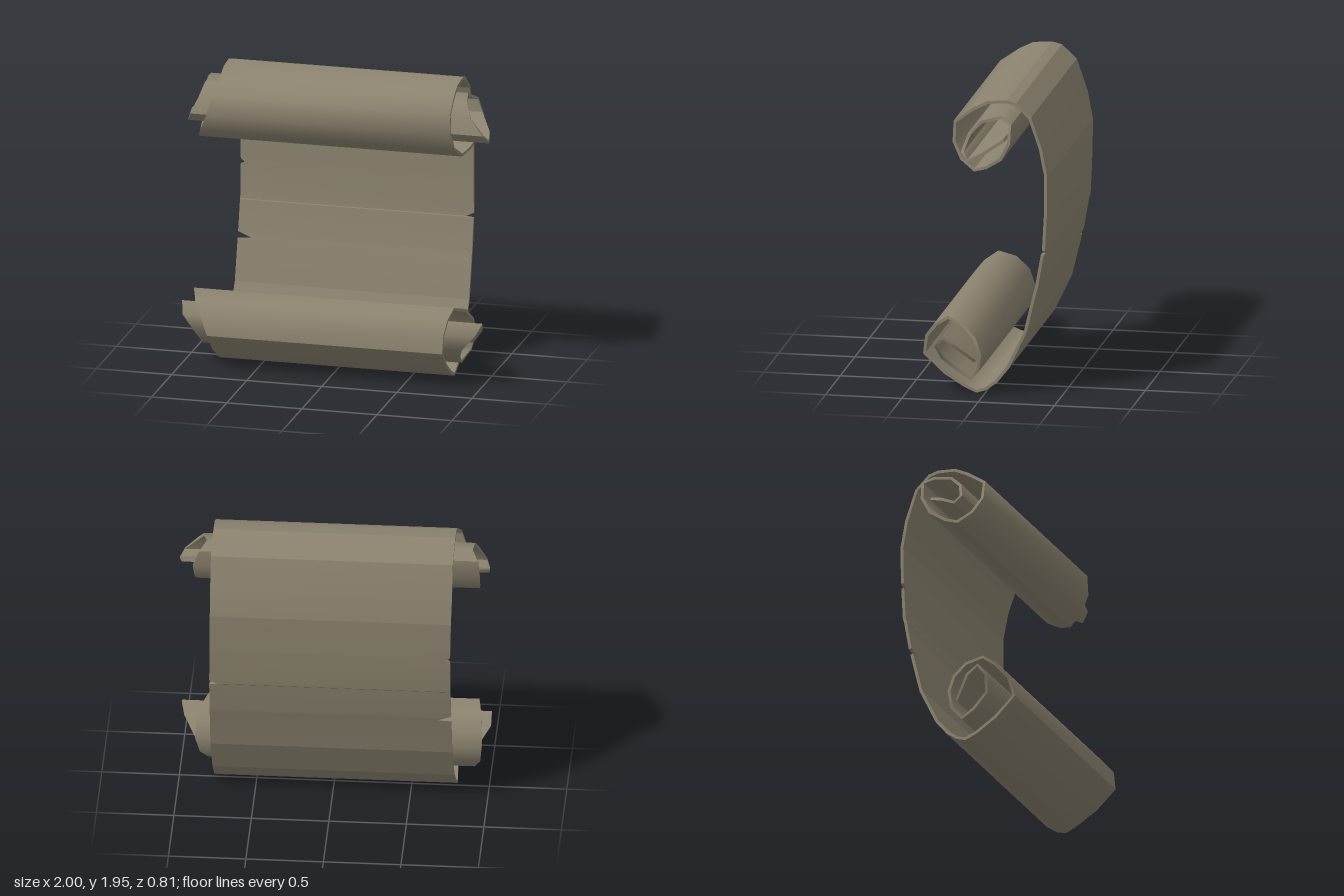
import * as THREE from 'three';
import { toCreasedNormals } from 'three/addons/utils/BufferGeometryUtils.js';

const THICKNESS = 0.02;

// Cross-section rows: [z, y, left end (-x), right end (+x)]
// Upper curl, from its loose inner end out to the top of the sheet
const upperCurl = [
  [-0.15, 1.72, 0.88, 0.9], [-0.02, 1.64, 1.0, 0.98], [0.07, 1.6, 1.0, 1.0],
  [0.11, 1.65, 0.98, 0.97], [0.08, 1.75, 0.93, 0.88], [0.01, 1.82, 0.91, 0.84],
  [-0.115, 1.85, 0.9, 0.81], [-0.18, 1.81, 0.94, 0.86], [-0.18, 1.7, 0.95, 0.9],
  [-0.125, 1.59, 0.95, 0.89], [-0.02, 1.52, 0.94, 0.85], [0.06, 1.495, 0.93, 0.82],
  [0.15, 1.56, 0.9, 0.79], [0.2, 1.67, 0.85, 0.78], [0.195, 1.8, 0.81, 0.775],
  [0.07, 1.89, 0.79, 0.77], [-0.02, 1.935, 0.79, 0.77],
];
// Hanging sheet with small tears along both edges
const sheet = [
  [-0.14, 1.945, 0.79, 0.77], [-0.2, 1.93, 0.79, 0.77], [-0.295, 1.845, 0.785, 0.775],
  [-0.365, 1.64, 0.785, 0.775], [-0.4, 1.46, 0.78, 0.775],
  [-0.398, 1.21, 0.775, 0.775], [-0.397, 1.19, 0.745, 0.775], [-0.396, 1.175, 0.775, 0.775],
  [-0.386, 0.97, 0.775, 0.78], [-0.382, 0.945, 0.775, 0.73], [-0.378, 0.94, 0.775, 0.78],
  [-0.342, 0.735, 0.778, 0.78], [-0.333, 0.7, 0.69, 0.78], [-0.331, 0.694, 0.778, 0.78],
  [-0.265, 0.42, 0.78, 0.78], [-0.15, 0.18, 0.785, 0.775], [-0.07, 0.08, 0.79, 0.77],
  [0, 0.03, 0.795, 0.765],
];
// Lower curl, from the foot of the sheet to its loose inner end
const lowerCurl = [
  [0.055, 0.012, 0.795, 0.765], [0.13, 0.045, 0.79, 0.765], [0.265, 0.13, 0.79, 0.77],
  [0.395, 0.255, 0.79, 0.775], [0.38, 0.37, 0.84, 0.78], [0.315, 0.45, 0.89, 0.79],
  [0.235, 0.505, 0.92, 0.81], [0.125, 0.47, 0.94, 0.86], [0.045, 0.39, 0.95, 0.89],
  [0.01, 0.29, 0.95, 0.9], [0.025, 0.18, 0.94, 0.87], [0.08, 0.11, 0.9, 0.82],
  [0.16, 0.16, 0.9, 0.83], [0.26, 0.25, 0.92, 0.87], [0.285, 0.345, 0.98, 0.96],
  [0.235, 0.415, 1.0, 1.0], [0.16, 0.36, 1.0, 0.98], [0.04, 0.24, 0.9, 0.89],
];

// Turn the cross-sections into thick rows of four corners each
function thickRows(path) {
  return path.map(([z, y, l, r], i) => {
    const a = path[Math.max(i - 1, 0)], b = path[Math.min(i + 1, path.length - 1)];
    const n = new THREE.Vector2(b[1] - a[1], a[0] - b[0]).setLength(THICKNESS / 2); // (nz, ny)
    return {
      la: [-l, y + n.y, z + n.x], ra: [r, y + n.y, z + n.x],
      lb: [-l, y - n.y, z - n.x], rb: [r, y - n.y, z - n.x],
    };
  });
}

// Skin a run of rows: both faces, both edges, and the loose ends
function skin(rows, crease) {
  const pos = [];
  const quad = (a, b, c, d) => pos.push(...a, ...b, ...c, ...a, ...c, ...d);
  for (let i = 0; i < rows.length - 1; i++) {
    const p = rows[i], q = rows[i + 1];
    quad(p.la, p.ra, q.ra, q.la);
    quad(p.lb, q.lb, q.rb, p.rb);
    quad(p.rb, q.rb, q.ra, p.ra);
    quad(p.lb, p.la, q.la, q.lb);
  }
  const s = rows[0], e = rows[rows.length - 1];
  quad(s.lb, s.rb, s.ra, s.la);
  quad(e.lb, e.la, e.ra, e.rb);
  const geometry = new THREE.BufferGeometry();
  geometry.setAttribute('position', new THREE.Float32BufferAttribute(pos, 3));
  return toCreasedNormals(geometry, crease);
}

export function createModel() {
  const group = new THREE.Group();
  group.name = 'scroll';
  const parchment = new THREE.MeshStandardMaterial({ color: 0x8b836f, side: THREE.DoubleSide });
  parchment.name = 'parchment';

  const rows = thickRows([...upperCurl, ...sheet, ...lowerCurl]);
  const topEnd = upperCurl.length, footStart = topEnd + sheet.length - 1;
  const parts = [
    ['upperRoll', 0, topEnd + 1, 0.9],
    ['hangingSheet', topEnd, footStart + 1, 0.15],
    ['lowerRoll', footStart, rows.length, 0.9],
  ];
  for (const [name, from, to, crease] of parts) {
    const mesh = new THREE.Mesh(skin(rows.slice(from, to), crease), parchment);
    mesh.name = name;
    group.add(mesh);
  }
  return group;
}
